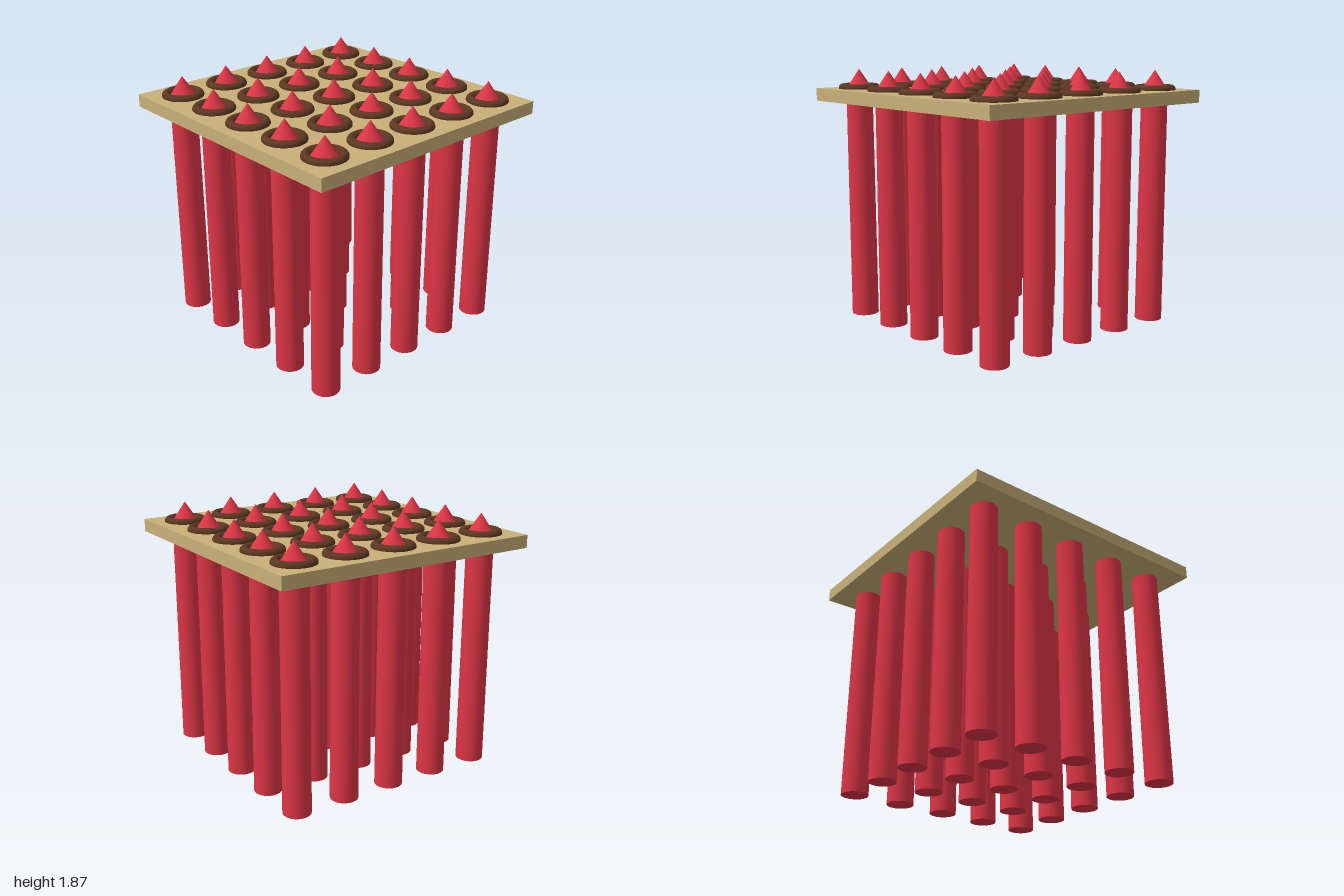
import * as THREE from 'three';

const material = (color) => new THREE.MeshStandardMaterial({ color });

export function createModel() {
  const model = new THREE.Group();
  const tan = material(0xc8b078);
  const red = material(0xdc3545);
  const brown = material(0x5a3722);

  const add = (parent, name, geometry, mat, y) => {
    const mesh = new THREE.Mesh(geometry, mat);
    mesh.name = name;
    mesh.position.y = y;
    parent.add(mesh);
  };

  // Square slab resting near the top of the posts
  const bottom = 1.635, top = 1.728, tip = 1.872;
  add(model, 'slab', new THREE.BoxGeometry(2, top - bottom, 2), tan, (top + bottom) / 2);

  // Slightly tapered post, pointed tip and collar, shared by the whole grid
  const shaft = new THREE.CylinderGeometry(0.096, 0.1, top, 32);
  const point = new THREE.ConeGeometry(0.096, tip - top, 32);
  const ring = new THREE.TorusGeometry(0.121, 0.031, 16, 40).rotateX(Math.PI / 2);

  // 5 x 5 grid of posts
  const spacing = 0.385;
  for (let row = -2; row <= 2; row++) {
    for (let col = -2; col <= 2; col++) {
      const post = new THREE.Group();
      post.name = 'post';
      post.position.set(col * spacing, 0, row * spacing);
      add(post, 'shaft', shaft, red, top / 2);
      add(post, 'tip', point, red, (top + tip) / 2);
      add(post, 'collar', ring, brown, 1.734);
      model.add(post);
    }
  }
  return model;
}
